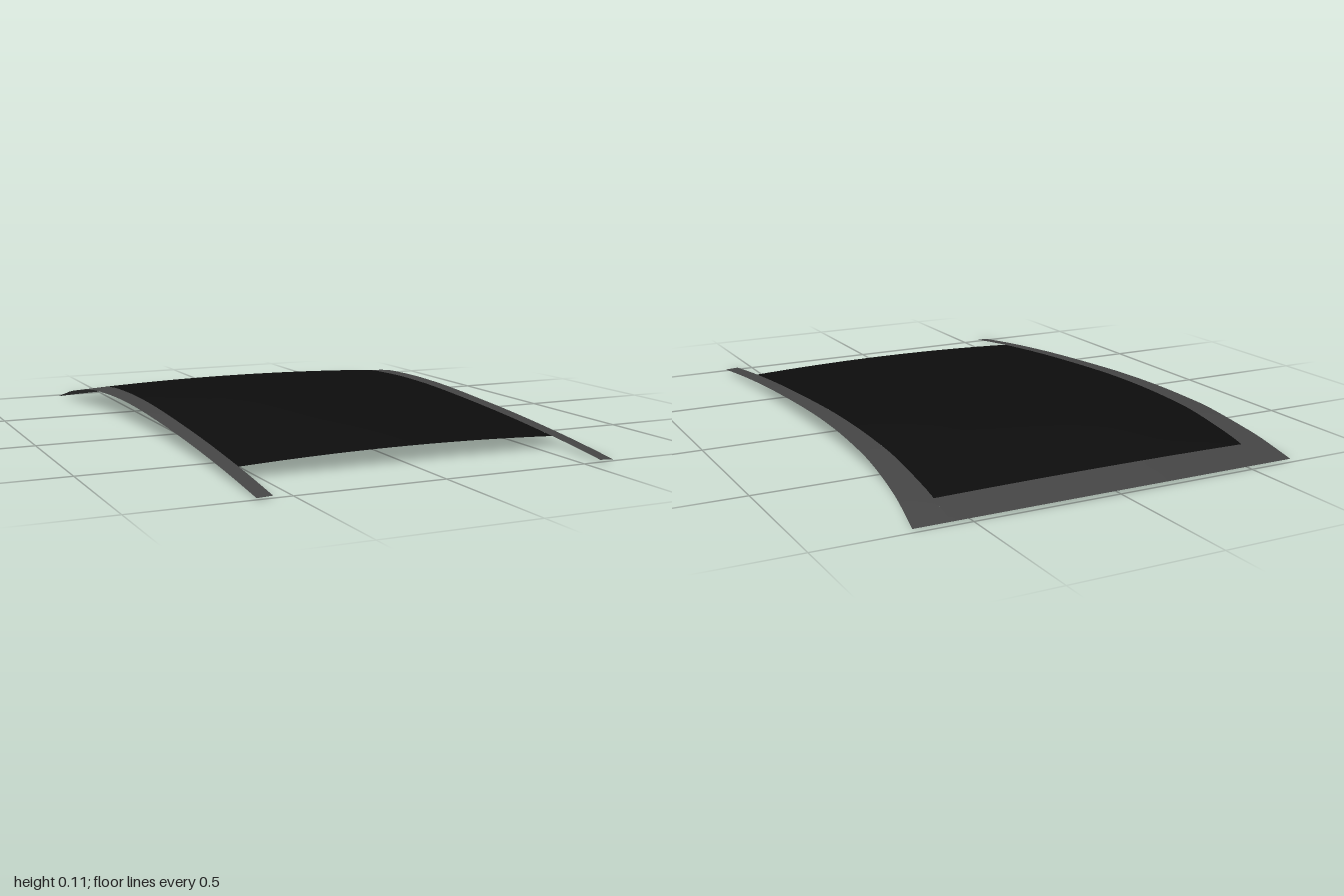
import * as THREE from 'three';

const lerp = THREE.MathUtils.lerp;

// Smooth curve through [z, value] pairs, z running from front to rear
function curve(points) {
  const spline = new THREE.SplineCurve(points.map(p => new THREE.Vector2(...p)));
  const samples = spline.getPoints(300);
  return z => {
    let i = 1;
    while (i < samples.length - 1 && samples[i].x > z) i++;
    const a = samples[i - 1], b = samples[i];
    return lerp(a.y, b.y, (z - a.x) / (b.x - a.x));
  };
}

// Height of the roof along its centre line, and half width at the outer edge
const ridge = curve([[1, 0.025], [0.74, 0.055], [0.4, 0.085], [0, 0.109], [-0.25, 0.115],
  [-0.45, 0.111], [-0.6, 0.101], [-0.8, 0.07], [-0.9, 0.045], [-1, 0.016]]);
const outer = curve([[1, 0.612], [0.4, 0.617], [0, 0.623], [-0.3, 0.631], [-0.6, 0.645],
  [-0.8, 0.66], [-1, 0.683]]);
const INNER = 0.562;
const roofY = (x, z) => ridge(z) - 0.045 * x * x;
const rearZ = x => -1 + 0.06 * x * x;
const glassRearZ = x => -0.88 + 0.045 * x * x;

// Curved sheet lying on the roof; plan(u, v) gives [x, z], v from front to rear
function sheet(name, material, nu, nv, plan) {
  const geo = new THREE.PlaneGeometry(1, 1, nu, nv);
  const pos = geo.attributes.position;
  for (let i = 0; i < pos.count; i++) {
    const [x, z] = plan(pos.getX(i) + 0.5, pos.getY(i) + 0.5);
    pos.setXYZ(i, x, roofY(x, z), z);
  }
  geo.computeVertexNormals();
  const mesh = new THREE.Mesh(geo, material);
  mesh.name = name;
  return mesh;
}

export function createModel() {
  const roof = new THREE.Group();
  roof.name = 'roof';
  const frame = new THREE.MeshStandardMaterial({ color: 0x454545, side: THREE.DoubleSide });
  const glass = new THREE.MeshStandardMaterial({ color: 0x0d0d0d, side: THREE.DoubleSide });
  const acrossX = u => lerp(-INNER, INNER, u);

  // Two dark panels meeting at a cross seam
  roof.add(sheet('frontPanel', glass, 24, 24, (u, v) => [acrossX(u), lerp(0.74, -0.07, v)]));
  roof.add(sheet('rearPanel', glass, 24, 32, (u, v) => {
    const x = acrossX(u);
    return [x, lerp(-0.07, glassRearZ(x), v)];
  }));

  // Rear cross member
  roof.add(sheet('rearHeader', frame, 24, 6, (u, v) => {
    const x = acrossX(u);
    return [x, lerp(glassRearZ(x), rearZ(x), v)];
  }));

  // Side rails, flaring outwards at the rear
  for (const side of [1, -1]) {
    roof.add(sheet(side > 0 ? 'leftRail' : 'rightRail', frame, 4, 64, (u, v) => {
      const x = side * lerp(INNER, outer(lerp(1, -0.975, v)), side > 0 ? u : 1 - u);
      return [x, lerp(1, rearZ(x), v)];
    }));
  }

  // Rest the lowest corner on the ground
  roof.position.y = -new THREE.Box3().setFromObject(roof).min.y;
  return roof;
}
